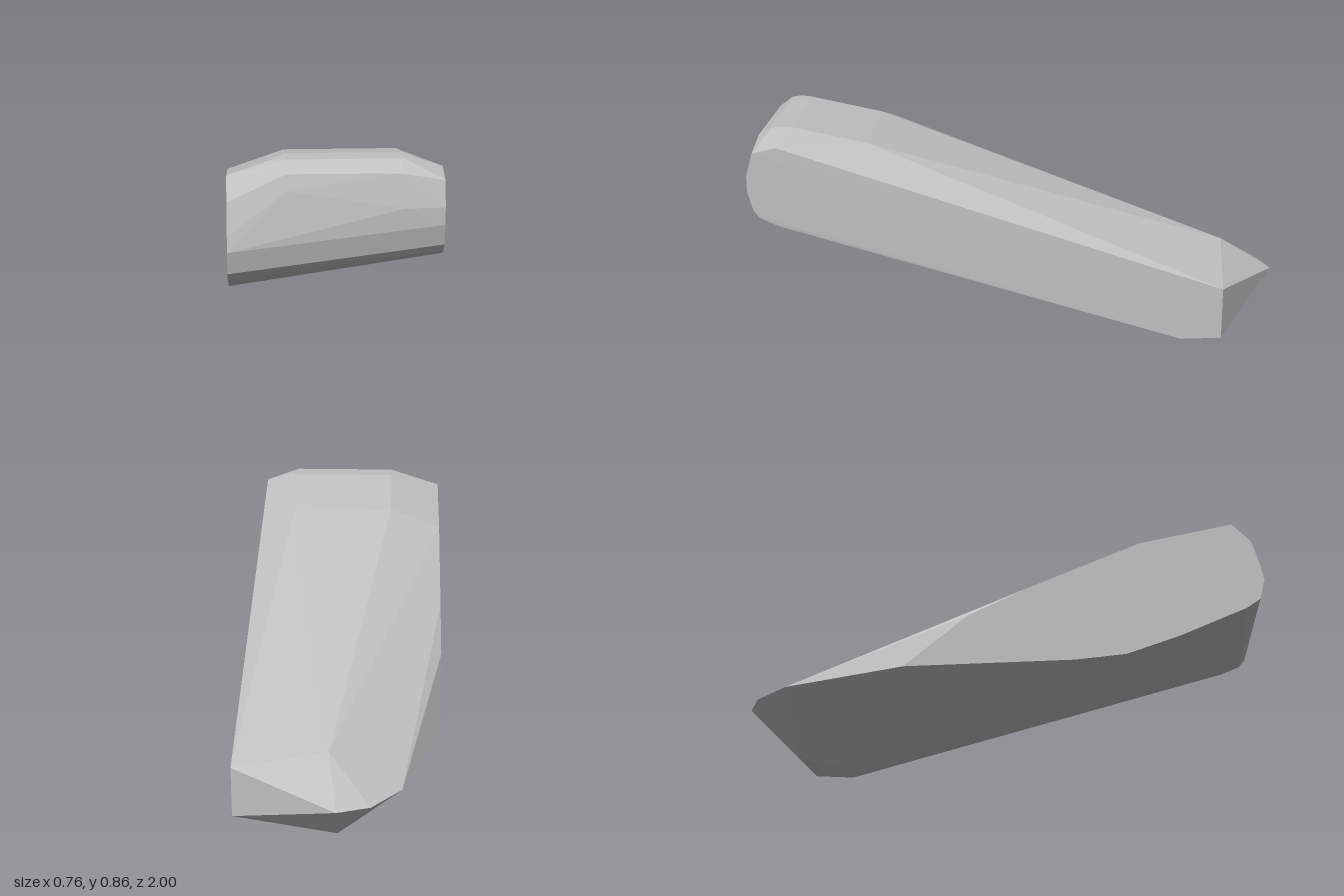
import * as THREE from 'three';
import { ConvexGeometry } from 'three/addons/geometries/ConvexGeometry.js';

// Outlines are [z, y] pairs lying on a side of the block.
const leftOutline = [
  [0.89, 0.795], [0.96, 0.72], [0.99, 0.61], [1, 0.555], [0.98, 0.475], [0.93, 0.44],
  [0.68, 0.335], [0.48, 0.267], [0.29, 0.25], [-0.35, 0.245],
  [-0.11, 0.447], [0.123, 0.557], [0.54, 0.728],
];
const rightOutline = [
  [0.87, 0.815], [0.96, 0.79], [0.985, 0.7], [0.985, 0.64], [0.965, 0.565], [0.94, 0.535],
  [0.87, 0.505], [-0.65, 0.105], [-0.8, 0.115], [-0.8, 0.312],
];

export function createModel() {
  const group = new THREE.Group();
  group.name = 'cutStone';
  const stone = new THREE.MeshStandardMaterial({ color: 0xc0c0c0 });
  stone.name = 'stone grey';

  const points = [];
  const add = (x, y, z) => points.push(new THREE.Vector3(x, y, z));

  // Flat sides: the right one leans in slightly toward the front
  for (const [z, y] of leftOutline) add(-0.38, y, z);
  for (const [z, y] of rightOutline) add(z < 0 ? 0.38 : 0.353, y, z);

  // Crown of the rounded front
  for (const x of [-0.18, 0.22]) {
    add(x, 0.855, 0.83);
    add(x, 0.853, 0.91);
    add(x, 0.8, 0.55);
  }
  add(-0.22, 0.848, 0.88);
  add(0.26, 0.847, 0.88);
  add(-0.18, 0.815, 0.96);
  add(0.2, 0.815, 0.965);
  add(-0.18, 0.76, 0.975);
  add(0.22, 0.7, 0.99);

  // Pointed back end
  add(0.03, 0.38, -0.8);
  add(0, 0.25, -1);
  add(-0.12, 0.244, -0.95);
  add(-0.23, 0.244, -0.82);

  // Keel underneath
  add(0, 0, -0.65);
  add(0, 0.05, -0.8);

  const block = new THREE.Mesh(new ConvexGeometry(points), stone);
  block.name = 'stoneBlock';
  group.add(block);
  return group;
}
